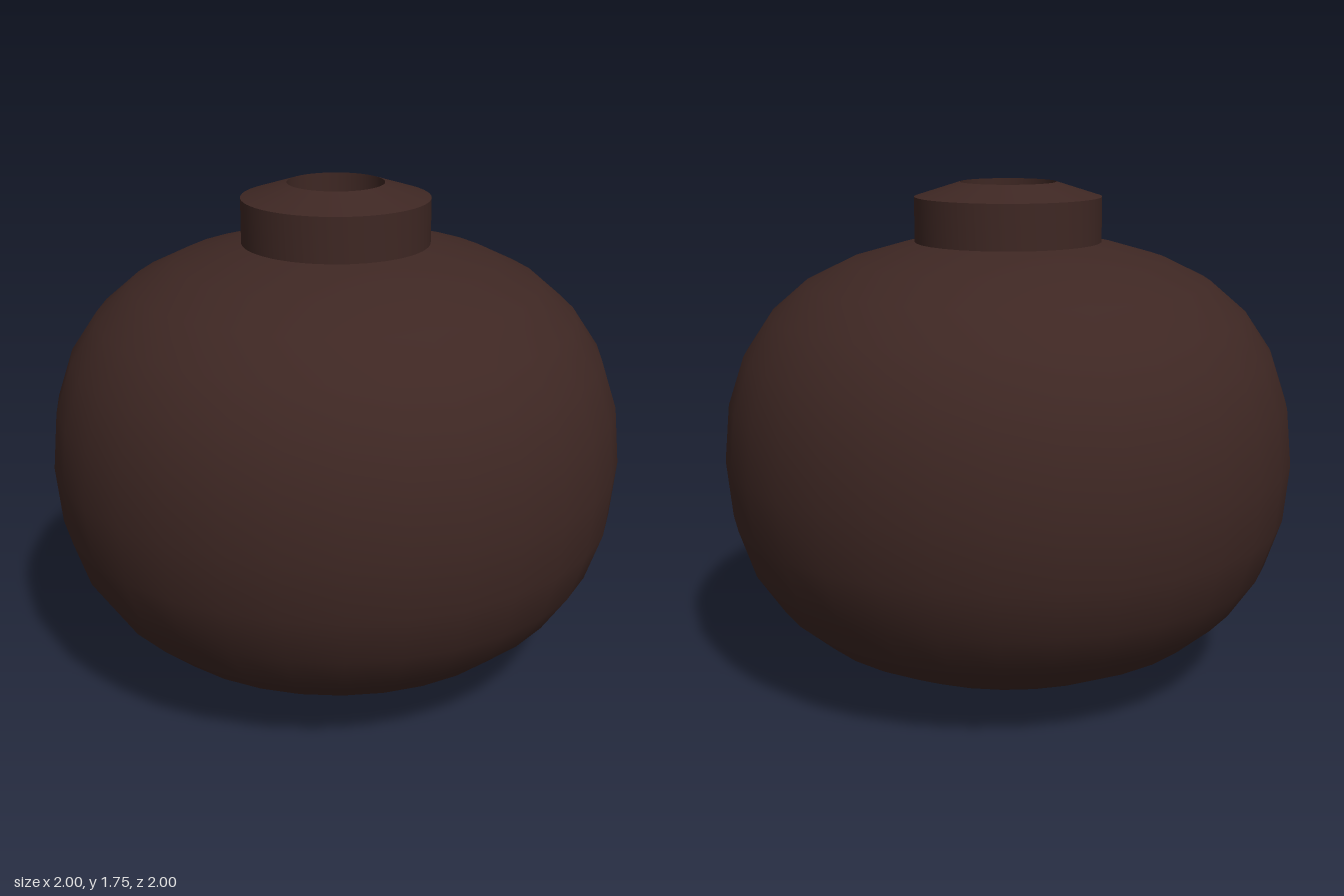
import * as THREE from 'three';
import { toCreasedNormals } from 'three/addons/utils/BufferGeometryUtils.js';

export function createModel() {
  const group = new THREE.Group();
  const material = new THREE.MeshStandardMaterial({ color: 0x3e2723 });

  // Squat rounded body: heights of the rings above and below the equator
  const heights = [0, 0.2, 0.37, 0.507, 0.614, 0.688, 0.738, 0.778, 0.8];
  const profile = [];
  for (let i = -8; i <= 8; i++) {
    const radius = Math.abs(i) === 8 ? 0 : Math.cos((i * Math.PI) / 16);
    profile.push(new THREE.Vector2(radius, 0.8 + Math.sign(i) * heights[Math.abs(i)]));
  }
  const body = new THREE.Mesh(new THREE.LatheGeometry(profile, 32), material);
  body.name = 'body';
  group.add(body);

  // Neck ring with a sloping rim and an open bore down to the body
  const ring = [[0.325, 1.5], [0.325, 1.705], [0.167, 1.755], [0.167, 1.5]]
    .map(([r, y]) => new THREE.Vector2(r, y));
  const neck = new THREE.Mesh(
    toCreasedNormals(new THREE.LatheGeometry(ring, 64), 0.25), material);
  neck.name = 'neck';
  group.add(neck);

  return group;
}
